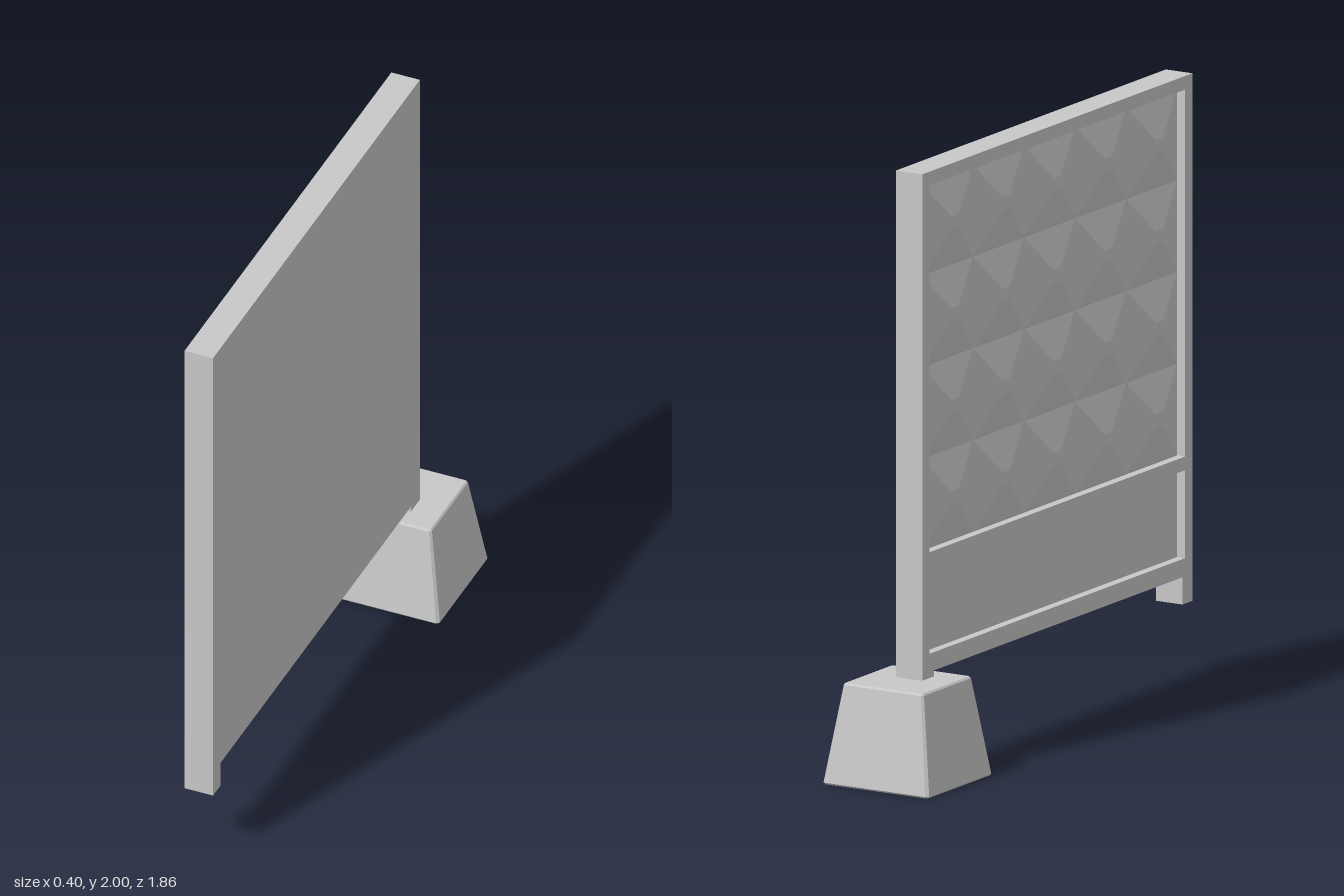
import * as THREE from 'three';

export function createModel() {
  const concrete = new THREE.MeshStandardMaterial({ color: 0xc8c8c8, flatShading: true });
  concrete.name = 'concrete';

  const model = new THREE.Group();
  model.name = 'fenceSection';

  const add = (name, geometry, parent = model) => {
    const mesh = new THREE.Mesh(geometry, concrete);
    mesh.name = name;
    parent.add(mesh);
    return mesh;
  };

  const half = 0.05;       // half thickness of the panel
  const recess = 0.03;     // depth of the fields on the decorated side
  const floorX = -half + recess;

  // Panel outline in (z, y), with a short foot at either end
  const outline = () => new THREE.Shape([
    [-0.72, 0.26], [-0.65, 0.26], [-0.65, 0.35], [0.87, 0.35],
    [0.87, 0.26], [0.93, 0.26], [0.93, 2], [-0.72, 2],
  ].map(([z, y]) => new THREE.Vector2(z, y)));

  const rectHole = (z0, z1, y0, y1) => new THREE.Path([
    [z0, y0], [z0, y1], [z1, y1], [z1, y0],
  ].map(([z, y]) => new THREE.Vector2(z, y)));

  // Extrude a (z, y) shape from startX towards -x
  const slab = (shape, depth, startX) =>
    new THREE.ExtrudeGeometry(shape, { depth, bevelEnabled: false })
      .rotateY(-Math.PI / 2)
      .translate(startX, 0, 0);

  const field = { z0: -0.675, z1: 0.885, y0: 0.745, y1: 1.955 };

  // Plain backing slab and the raised frame around the two fields
  add('panelSlab', slab(outline(), half - floorX, half));
  const frame = outline();
  frame.holes.push(
    rectHole(field.z0, field.z1, field.y0, field.y1),
    rectHole(field.z0, field.z1, 0.41, 0.7),
  );
  add('panelFrame', slab(frame, recess, floorX));

  // Grid of blunt pyramids in the upper field
  const columns = 5, rows = 4;
  const cellZ = (field.z1 - field.z0) / columns;
  const cellY = (field.y1 - field.y0) / rows;
  const pyramid = new THREE.CylinderGeometry(0.1, Math.SQRT1_2, 1, 4)
    .rotateY(Math.PI / 4)
    .rotateZ(Math.PI / 2)
    .scale(recess, cellY, cellZ);
  const relief = new THREE.Group();
  relief.name = 'pyramidRelief';
  model.add(relief);
  for (let r = 0; r < rows; r++) {
    for (let c = 0; c < columns; c++) {
      add('reliefPyramid', pyramid, relief).position.set(
        floorX - recess / 2,
        field.y0 + (r + 0.5) * cellY,
        field.z0 + (c + 0.5) * cellZ,
      );
    }
  }

  // Tapered footing block with narrow chamfers
  const bevel = 0.006, height = 0.33, s = 0.2 - bevel, k = s - bevel;
  const square = new THREE.Shape([
    [s, -k], [s, k], [k, s], [-k, s], [-s, k], [-s, -k], [-k, -s], [k, -s],
  ].map(([x, y]) => new THREE.Vector2(x, y)));
  const footing = new THREE.ExtrudeGeometry(square, {
    depth: height - 2 * bevel,
    bevelThickness: bevel, bevelSize: bevel, bevelSegments: 1,
  }).rotateX(-Math.PI / 2).translate(0, bevel, 0);
  const p = footing.attributes.position;
  for (let i = 0; i < p.count; i++) {
    const f = 1 - 0.25 * p.getY(i) / height;
    p.setXYZ(i, p.getX(i) * f, p.getY(i), p.getZ(i) * f);
  }
  footing.computeVertexNormals();
  add('footing', footing).position.z = -0.73;

  return model;
}
